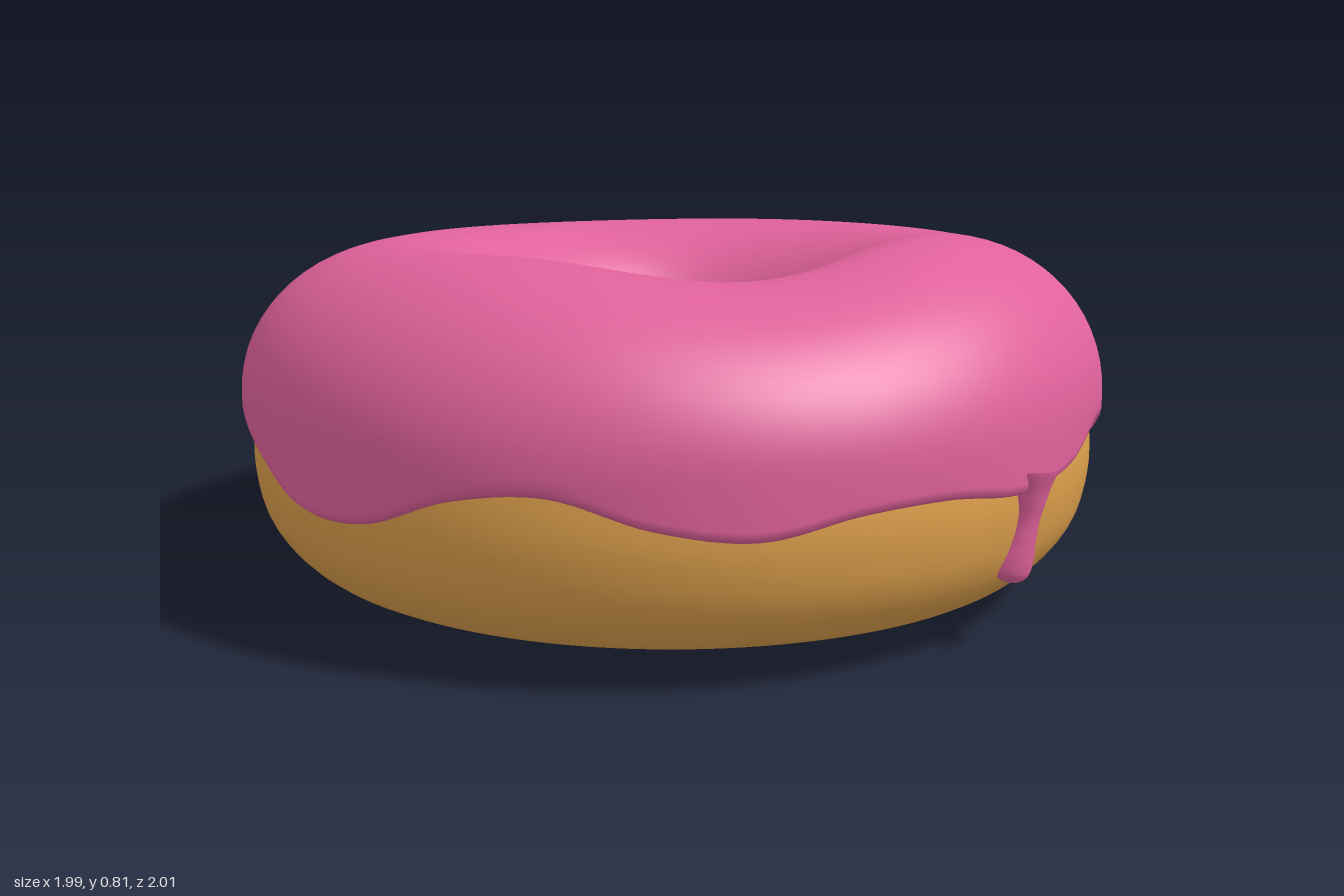
import * as THREE from 'three';
import { mergeVertices } from 'three/addons/utils/BufferGeometryUtils.js';

const TAU = Math.PI * 2;

// Smooth periodic function through values evenly spaced around the ring
function wave(values) {
  const curve = new THREE.CatmullRomCurve3(
    values.map((v) => new THREE.Vector3(0, v, 0)), true, 'catmullrom', 0.5);
  return (a) => curve.getPoint(a / TAU).y;
}

// Angle 0 is +x, a quarter turn is +z
const topHeight = wave([0.77, 0.815, 0.768, 0.808, 0.78, 0.752, 0.735, 0.745]);
const baseHeight = wave([0.018, 0.012, 0.024, 0.022, 0.014, 0.004, 0.01, 0.006]);
const innerHem = wave([0.33, 0.3, 0.33, 0.4, 0.37, 0.35, 0.37, 0.35]);
const outerHem = wave([
  0.28, 0.29, 0.375, 0.42, 0.365, 0.35, 0.375, 0.37, 0.335, 0.36,
  0.415, 0.39, 0.315, 0.305, 0.365, 0.405, 0.4, 0.38, 0.37, 0.367,
  0.4, 0.395, 0.34, 0.345, 0.41, 0.395, 0.34, 0.3, 0.36, 0.37]);
const holeRadius = (a) =>
  0.288 - 0.018 * Math.pow(Math.max(0, Math.cos(a + 0.45)), 12);

// Sweeps a profile of [radius, height] pairs, which may vary with the angle
function sweepRing(profileAt, columns, closed) {
  const pos = [], index = [];
  let rows = 0;
  for (let i = 0; i < columns; i++) {
    const a = (i / columns) * TAU;
    const profile = profileAt(a);
    rows = profile.length;
    for (const [r, y] of profile) pos.push(r * Math.cos(a), y, r * Math.sin(a));
  }
  for (let i = 0; i < columns; i++) {
    const p = i * rows, q = ((i + 1) % columns) * rows;
    for (let j = 0; j < (closed ? rows : rows - 1); j++) {
      const k = (j + 1) % rows;
      index.push(p + j, p + k, q + j, p + k, q + k, q + j);
    }
  }
  const geo = new THREE.BufferGeometry();
  geo.setAttribute('position', new THREE.Float32BufferAttribute(pos, 3));
  geo.setIndex(index);
  geo.computeVertexNormals();
  return geo;
}

// Rounded ring with a flaring underside
function doughProfile(a) {
  const base = baseHeight(a), top = topHeight(a) - 0.035, hole = holeRadius(a) + 0.018;
  const points = [
    [0.62, base], [0.76, base + 0.028], [0.87, 0.095], [0.94, 0.18], [0.966, 0.28],
    [0.965, 0.37], [0.935, 0.5], [0.84, top - 0.09], [0.62, top], [0.44, top - 0.09],
    [hole + 0.04, 0.52], [hole, 0.41], [hole + 0.02, 0.3], [hole + 0.08, 0.18],
    [hole + 0.18, base + 0.06],
  ].map(([r, y]) => new THREE.Vector3(r, y, 0));
  return new THREE.CatmullRomCurve3(points, true).getPoints(56).slice(0, -1)
    .map((p) => [p.x, p.y]);
}

// Domed coat with a rounded lip along both hems
function icingProfile(a) {
  const middle = 0.455, centre = 0.62, outer = 0.99, steps = 32;
  const hem = outerHem(a), hem2 = innerHem(a), top = topHeight(a), hole = holeRadius(a);
  const lip = outer + Math.max(0, 0.38 - hem) * 0.08;
  const profile = [
    [0.94, hem + 0.025], [0.962, hem + 0.004], [lip - 0.014, hem],
    [lip - 0.003, hem + 0.009], [lip, hem + 0.024],
  ];
  for (let i = 0; i <= steps; i++) {
    const t = (i / steps) * Math.PI, c = Math.cos(t);
    const width = c > 0 ? outer - centre : centre - hole;
    profile.push([centre + width * c, middle + (top - middle) * Math.sin(t)]);
  }
  profile.push([hole, hem2 + 0.025], [hole + 0.004, hem2 + 0.008],
    [hole + 0.016, hem2], [hole + 0.05, hem2 + 0.02]);
  return profile;
}

// Tapered run of icing ending in a rounded bead
function dripGeometry(points) {
  const rings = 40;
  const path = new THREE.CatmullRomCurve3(points.map((p) => new THREE.Vector3(...p)));
  const width = new THREE.SplineCurve(
    [0.062, 0.042, 0.031, 0.034, 0.043, 0.045].map((w, i) => new THREE.Vector2(i, w)));
  const geo = new THREE.TubeGeometry(path, rings, 1, 16);
  const pos = geo.attributes.position, v = new THREE.Vector3();
  for (let i = 0; i < pos.count; i++) {
    const t = Math.floor(i / 17) / rings;
    const cap = t > 0.84 ? Math.sqrt(Math.max(0, 1 - ((t - 0.84) / 0.16) ** 2)) : 1;
    const c = path.getPointAt(t);
    v.fromBufferAttribute(pos, i).sub(c).multiplyScalar(width.getPoint(t).y * cap).add(c);
    pos.setXYZ(i, v.x, v.y, v.z);
  }
  geo.deleteAttribute('uv');
  geo.deleteAttribute('normal');
  const merged = mergeVertices(geo, 1e-5);
  merged.computeVertexNormals();
  return merged;
}

export function createModel() {
  const dough = new THREE.MeshStandardMaterial({ color: 0xdb9e4b });
  dough.name = 'golden dough';
  const icing = new THREE.MeshStandardMaterial({ color: 0xe0629b });
  icing.name = 'pink icing';

  const group = new THREE.Group();
  group.name = 'donut';
  const add = (name, geometry, material) => {
    const mesh = new THREE.Mesh(geometry, material);
    mesh.name = name;
    group.add(mesh);
  };

  add('doughRing', sweepRing(doughProfile, 120, true), dough);
  add('icingCoat', sweepRing(icingProfile, 240, false), icing);
  add('frontDrip', dripGeometry(
    [[0.53, 0.39, 0.803], [0.528, 0.32, 0.81], [0.515, 0.24, 0.805], [0.495, 0.15, 0.785]]), icing);
  add('backDrip', dripGeometry(
    [[-0.03, 0.38, -0.955], [-0.035, 0.3, -0.957], [-0.05, 0.2, -0.93], [-0.075, 0.085, -0.875]]), icing);
  return group;
}
